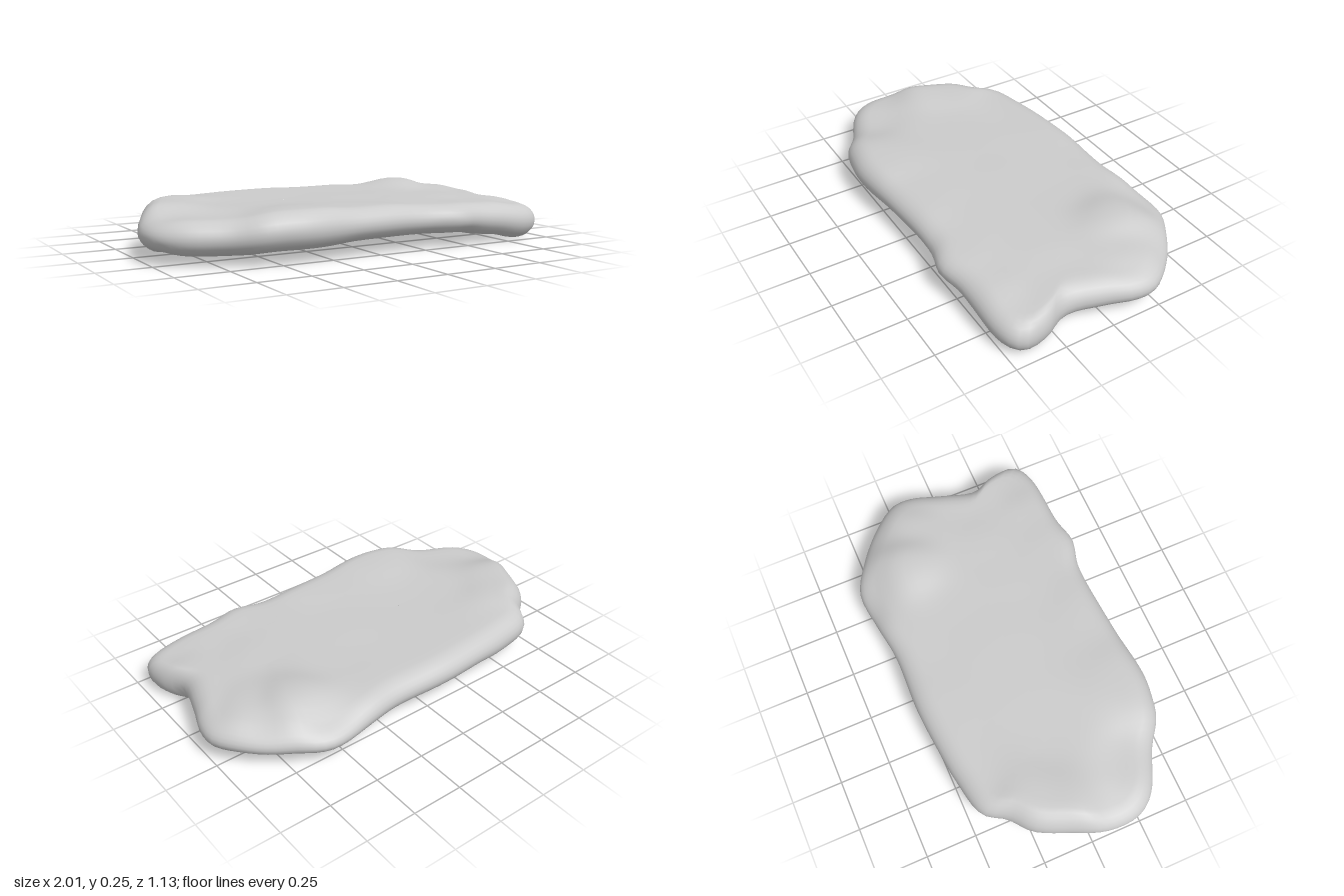
import * as THREE from 'three';

// Slab outline seen from above: x, z
const OUTLINE = [
  [-1, 0.2], [-0.995, 0.06], [-0.94, -0.08], [-0.86, -0.25], [-0.76, -0.34], [-0.69, -0.44],
  [-0.5, -0.49], [-0.3, -0.515], [-0.1, -0.53], [0.2, -0.525], [0.38, -0.55], [0.6, -0.565],
  [0.74, -0.49], [0.88, -0.38], [0.995, -0.23], [1, -0.13], [0.95, 0.02], [0.905, 0.2],
  [0.955, 0.32], [0.965, 0.44], [0.93, 0.485], [0.84, 0.515], [0.56, 0.525], [0.43, 0.55],
  [0.28, 0.515], [-0.1, 0.53], [-0.38, 0.558], [-0.5, 0.545], [-0.6, 0.52], [-0.72, 0.44],
  [-0.9, 0.35], [-0.97, 0.28],
];

// Surface heights at a few spots: x, z, top, underside
const HEIGHTS = [
  [-0.97, 0.15, 0.18, 0.05], [-0.86, -0.05, 0.24, 0.008], [-0.74, -0.25, 0.24, 0.015],
  [-0.62, -0.42, 0.215, 0.045], [-0.8, 0.32, 0.195, 0.035], [-0.38, 0.46, 0.235, 0.055],
  [-0.2, -0.45, 0.22, 0.065], [-0.5, 0, 0.213, 0.05], [0, 0, 0.215, 0.07],
  [0, 0.45, 0.22, 0.065], [0.2, -0.45, 0.215, 0.065], [0.3, -0.15, 0.21, 0.07],
  [0.26, 0.15, 0.21, 0.08], [0.4, 0.45, 0.205, 0.065], [0.55, 0.1, 0.208, 0.06],
  [0.62, -0.3, 0.258, 0.06], [0.6, -0.56, 0.165, 0.055], [0.88, -0.4, 0.17, 0.05],
  [0.82, -0.2, 0.215, 0.05], [0.97, -0.15, 0.175, 0.045], [0.86, 0.08, 0.195, 0.03],
  [0.86, 0.24, 0.19, 0.01], [0.66, 0.35, 0.195, 0.035], [0.88, 0.38, 0.165, -0.006],
];

// Blend the listed heights by softened inverse distance
function heightsAt(x, z) {
  let top = 0, bottom = 0, sum = 0;
  for (const [hx, hz, t, b] of HEIGHTS) {
    const w = 1 / ((x - hx) ** 2 + (z - hz) ** 2 + 0.014) ** 2;
    top += t * w;
    bottom += b * w;
    sum += w;
  }
  return [top / sum, bottom / sum];
}

// Closed skin: rings run from the top's middle, round the rim, to the underside's middle
function slabGeometry() {
  const N = 128, RIM = 0.1, INNER = 10, ARC = 6;
  const curve = new THREE.CatmullRomCurve3(
    OUTLINE.map(([x, z]) => new THREE.Vector3(x, 0, z)), true, 'centripetal');
  const edge = curve.getSpacedPoints(N).slice(0, N);

  const rings = []; // inward share past the rim, and rim angle
  for (let i = INNER; i > 0; i--) rings.push([i / INNER, Math.PI / 2]);
  for (let i = ARC; i >= -ARC; i--) rings.push([0, (i / ARC) * Math.PI / 2]);
  for (let i = 1; i <= INNER; i++) rings.push([i / INNER, -Math.PI / 2]);

  const pos = [], index = [];
  rings.forEach(([share, angle], r) => {
    edge.forEach((p, j) => {
      const core = new THREE.Vector3(THREE.MathUtils.clamp(p.x * 0.8, -0.5, 0.55), 0, 0);
      const reach = p.distanceTo(core);
      const rim = RIM * (1 - Math.cos(angle));
      const q = p.clone().lerp(core, (rim + (reach - rim) * share) / reach);
      const [top, bottom] = heightsAt(q.x, q.z);
      const y = (top + bottom) / 2 + (top - bottom) / 2 * Math.sin(angle);
      pos.push(q.x, y, q.z);
      if (r === 0) return;
      const k = (j + 1) % N, a = (r - 1) * N, b = r * N;
      index.push(a + j, a + k, b + j, a + k, b + k, b + j);
    });
  });

  const geo = new THREE.BufferGeometry();
  geo.setAttribute('position', new THREE.Float32BufferAttribute(pos, 3));
  geo.setIndex(index);
  geo.computeBoundingBox();
  geo.translate(0, -geo.boundingBox.min.y, 0);
  geo.computeVertexNormals();
  return geo;
}

export function createModel() {
  const group = new THREE.Group();
  group.name = 'stoneSlab';
  const slab = new THREE.Mesh(slabGeometry(), new THREE.MeshStandardMaterial({ color: 0xcccccc }));
  slab.name = 'slab';
  group.add(slab);
  return group;
}
